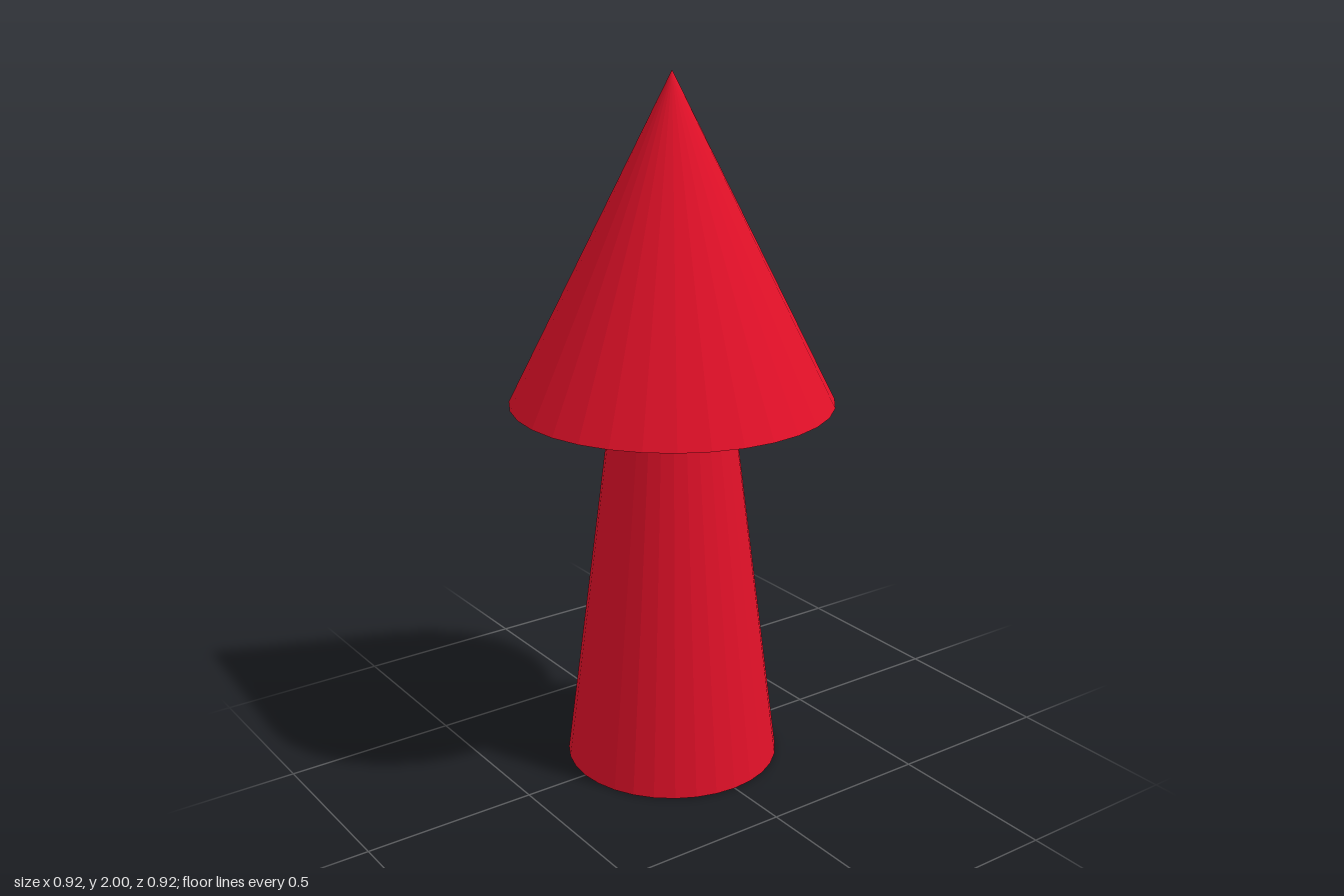
import * as THREE from 'three';

const SIDES = 32;

export function createModel() {
  const group = new THREE.Group();
  const material = new THREE.MeshStandardMaterial({ color: 0xe01028, flatShading: true });

  // Turns a profile of [radius, height] pairs, listed bottom to top
  const addTurned = (name, profile) => {
    const points = profile.map(([r, y]) => new THREE.Vector2(r, y));
    const mesh = new THREE.Mesh(new THREE.LatheGeometry(points, SIDES), material);
    mesh.name = name;
    group.add(mesh);
  };

  // Tapered shaft with a closed base
  addTurned('shaft', [[0, 0], [0.31, 0], [0.175, 1.06]]);

  // Pointed head; its underside dips slightly towards the shaft
  addTurned('head', [[0.175, 1.06], [0.458, 1.087], [0, 2]]);

  return group;
}
